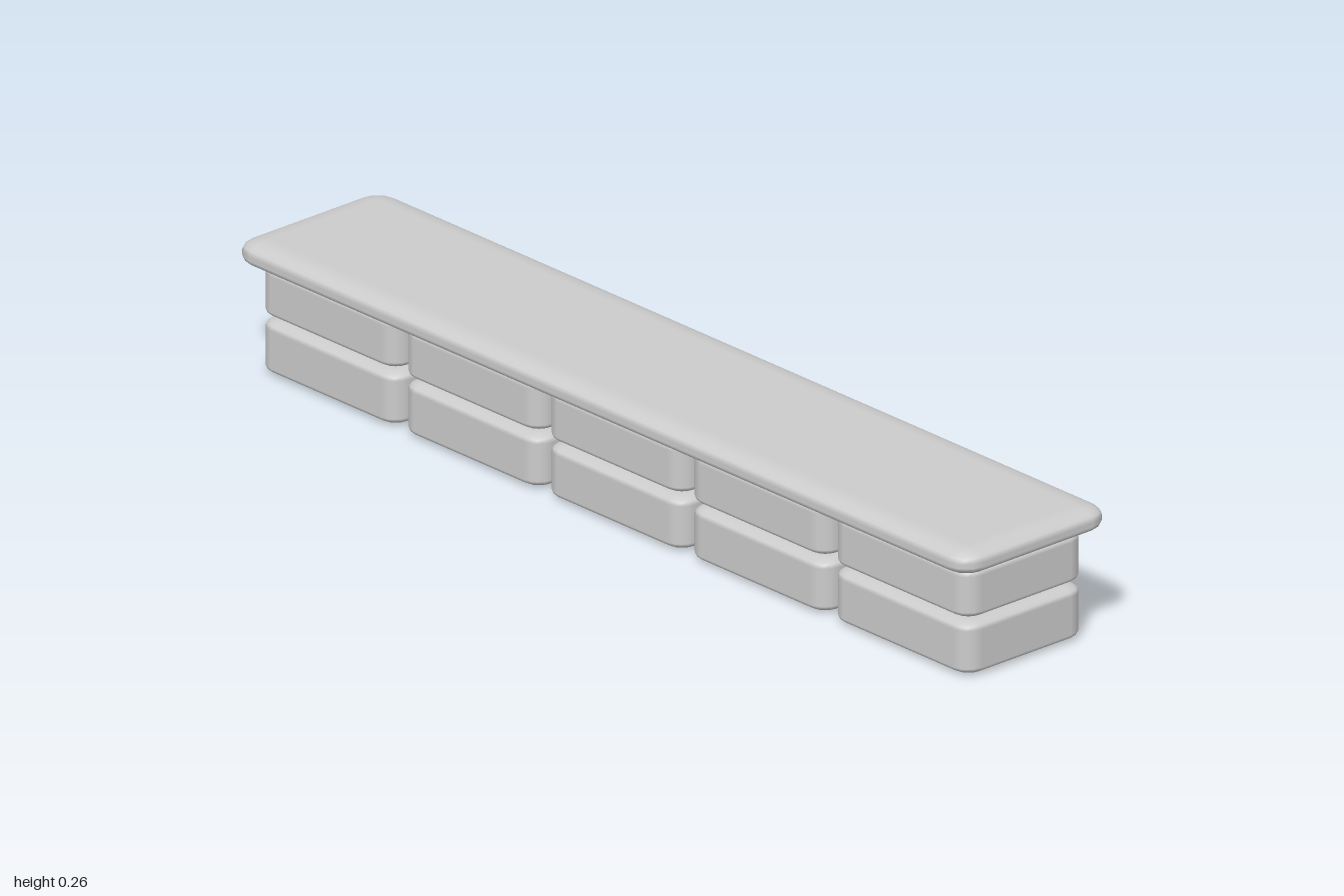
import * as THREE from 'three';
import { RoundedBoxGeometry } from 'three/addons/geometries/RoundedBoxGeometry.js';

// Box with a different rounding radius along each axis
function softBox(size, radius) {
  const geometry = new RoundedBoxGeometry(1, 1, 1, 2, 0.25);
  const position = geometry.attributes.position;
  const normal = geometry.attributes.normal;
  const n = new THREE.Vector3();
  for (let i = 0; i < position.count; i++) {
    for (let axis = 0; axis < 3; axis++) {
      const c = position.getComponent(i, axis);
      const t = (Math.abs(c) - 0.25) / 0.25;
      position.setComponent(i, axis, Math.sign(c) * (size[axis] / 2 - radius[axis] * (1 - t)));
      n.setComponent(axis, normal.getComponent(i, axis) / radius[axis]);
    }
    n.normalize();
    normal.setXYZ(i, n.x, n.y, n.z);
  }
  return geometry;
}

export function createModel() {
  const model = new THREE.Group();
  model.name = 'lowStoneWall';
  const stone = new THREE.MeshStandardMaterial({ color: 0xcccccc });
  stone.name = 'light grey stone';

  // Two courses of five rounded blocks
  const courses = [
    { name: 'lowerBlock', bottom: 0, height: 0.108 },
    { name: 'upperBlock', bottom: 0.113, height: 0.104 },
  ];
  for (const { name, bottom, height } of courses) {
    const geometry = softBox([0.376, height, 0.3], [0.038, 0.016, 0.04]);
    for (let i = -2; i <= 2; i++) {
      const block = new THREE.Mesh(geometry, stone);
      block.name = `${name}${i + 3}`;
      block.position.set(i * 0.39, bottom + height / 2, 0);
      model.add(block);
    }
  }

  // Overhanging slab along the top
  const slab = new THREE.Mesh(softBox([2, 0.05, 0.37], [0.05, 0.021, 0.05]), stone);
  slab.name = 'capSlab';
  slab.position.y = 0.24;
  model.add(slab);

  return model;
}
